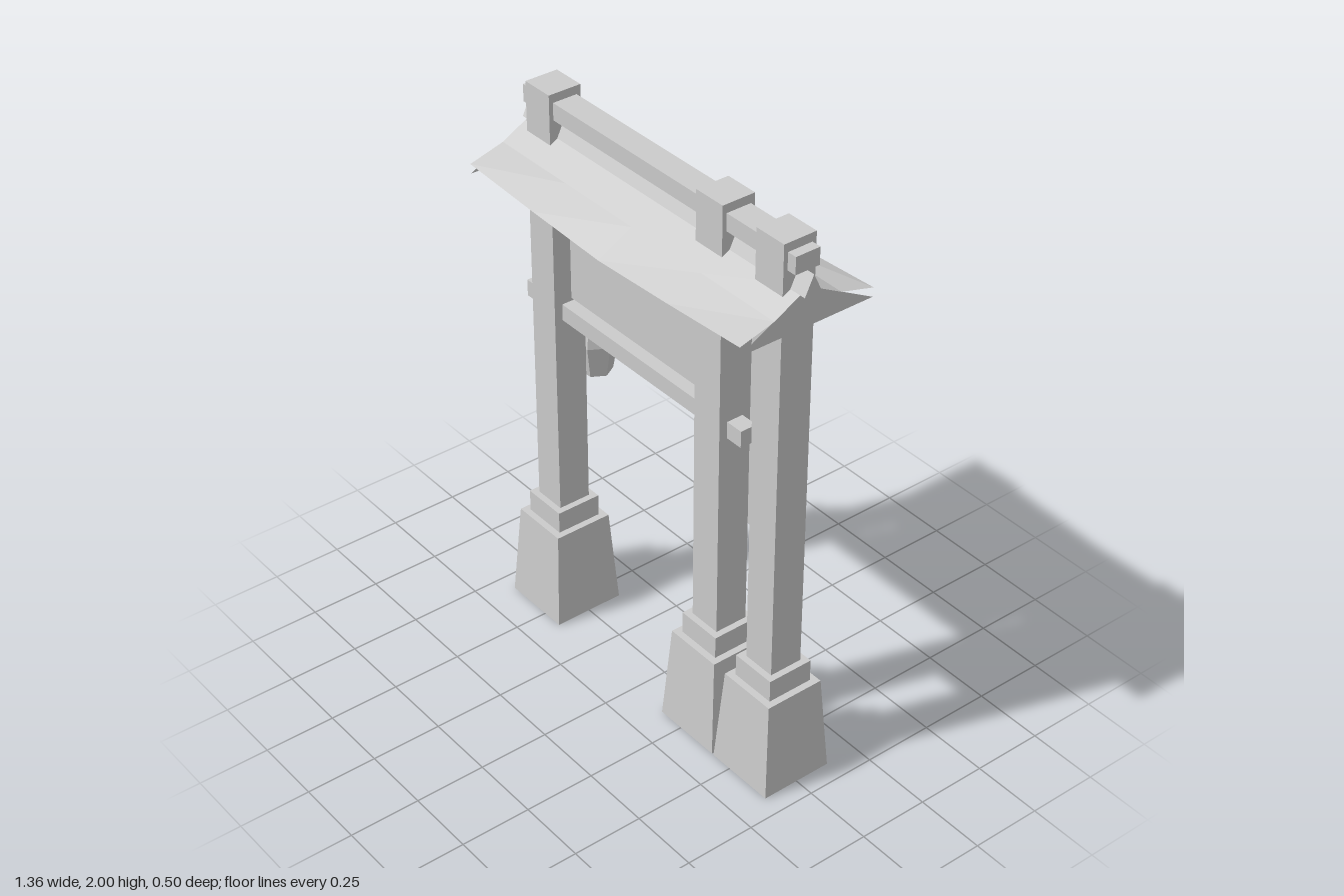
import * as THREE from 'three';

const mat = new THREE.MeshStandardMaterial({ color: 0xcccccc, flatShading: true });
const sheetMat = new THREE.MeshStandardMaterial({ color: 0xcccccc, flatShading: true, side: THREE.DoubleSide });

export function createModel() {
  const group = new THREE.Group();

  const add = (name, geometry, material = mat) => {
    const mesh = new THREE.Mesh(geometry, material);
    mesh.name = name;
    group.add(mesh);
    return mesh;
  };

  // Box given by its limits on each axis
  const box = (name, x0, x1, y0, y1, z0, z1) =>
    add(name, new THREE.BoxGeometry(x1 - x0, y1 - y0, z1 - z0))
      .position.set((x0 + x1) / 2, (y0 + y1) / 2, (z0 + z1) / 2);

  // Three posts, each on a collar and a tapered footing
  for (const x of [-0.55, 0.28, 0.548]) {
    const footing = new THREE.CylinderGeometry(0.107 * Math.SQRT2, 0.13 * Math.SQRT2, 0.35, 4);
    footing.rotateY(Math.PI / 4);
    add('footing', footing).position.set(x, 0.175, 0);
    box('collar', x - 0.083, x + 0.083, 0.35, 0.43, -0.083, 0.083);
    box('post', x - 0.06, x + 0.06, 0.43, 2, -0.06, 0.06);
  }

  // Horizontal beams
  box('ridgeBeam', -0.645, 0.642, 1.91, 1.97, -0.045, 0.045);
  box('upperBeam', -0.62, 0.615, 1.7, 1.76, -0.03, 0.03);
  box('lowerBeam', -0.68, 0.405, 1.175, 1.235, -0.03, 0.03);

  // Sign boards
  box('mainBoard', -0.46, 0.19, 1.27, 1.67, -0.015, 0.015);
  box('rearBoard', 0.305, 0.53, 0.81, 1.63, -0.08, -0.06);

  // Roof slopes: thin sheets whose eaves curl up towards the ends
  const halfLength = 0.65, halfDepth = 0.25;
  for (const side of [1, -1]) {
    const slope = new THREE.PlaneGeometry(halfLength * 2, 1, 4, 2);
    const p = slope.attributes.position;
    for (let i = 0; i < p.count; i++) {
      const x = p.getX(i);
      const t = 0.5 - p.getY(i); // 0 at the ridge, 1 at the eave
      const lift = t > 0.9 ? 0.033 * Math.pow(Math.abs(x) / halfLength, 1.2) : 0;
      p.setXYZ(i, x * side, 1.86 - 0.135 * t + lift, side * halfDepth * t);
    }
    slope.computeVertexNormals();
    add('roofSlope', slope, sheetMat);
  }

  // Gable panels closing the roof ends
  const gable = new THREE.Shape([
    new THREE.Vector2(-halfDepth, 1.725),
    new THREE.Vector2(halfDepth, 1.725),
    new THREE.Vector2(0, 1.86),
  ]);
  for (const side of [1, -1]) {
    const panel = add('gablePanel', new THREE.ShapeGeometry(gable), sheetMat);
    panel.rotation.y = side * Math.PI / 2;
    panel.position.x = side * (halfLength - 0.002);
  }

  // Triangular ridge cap
  const capShape = new THREE.Shape([
    new THREE.Vector2(-0.032, 1.843),
    new THREE.Vector2(0.032, 1.843),
    new THREE.Vector2(0, 1.91),
  ]);
  const cap = new THREE.ExtrudeGeometry(capShape, { depth: 1.34, bevelEnabled: false });
  cap.translate(0, 0, -0.67);
  cap.rotateY(Math.PI / 2);
  add('ridgeCap', cap);

  // Six-sided lantern behind the single post
  const lanternProfile = [[0, -0.12], [0.055, -0.12], [0.076, 0], [0.055, 0.12], [0, 0.12]]
    .map(([r, y]) => new THREE.Vector2(r, y));
  const lantern = new THREE.LatheGeometry(lanternProfile, 6);
  lantern.rotateY(Math.PI / 2);
  add('lantern', lantern).position.set(-0.55, 1, -0.148);

  return group;
}
